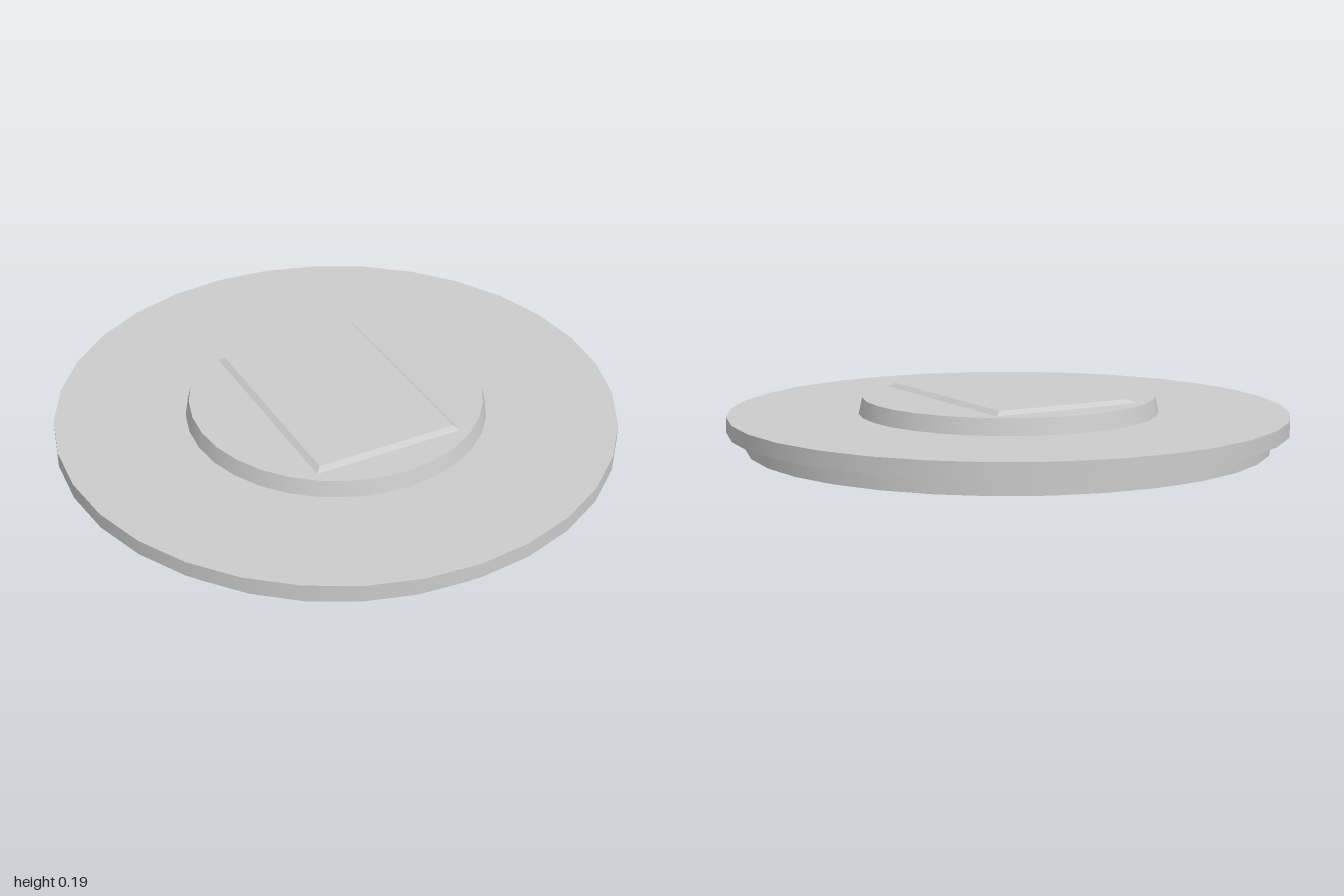
import * as THREE from 'three';

const SIDES = 32;
const grey = new THREE.MeshStandardMaterial({ color: 0xcccccc });

// Round disc standing between two heights
function disc(name, rTop, rBottom, y0, y1) {
  const mesh = new THREE.Mesh(new THREE.CylinderGeometry(rTop, rBottom, y1 - y0, SIDES), grey);
  mesh.position.y = (y0 + y1) / 2;
  mesh.name = name;
  return mesh;
}

// Rectangular slab whose top face is drawn in to bevel the four sides
function bevelledSlab(name, width, depth, inset, y0, y1) {
  const geometry = new THREE.BoxGeometry(width, y1 - y0, depth);
  const p = geometry.attributes.position;
  for (let i = 0; i < p.count; i++) {
    if (p.getY(i) > 0) {
      p.setX(i, p.getX(i) - Math.sign(p.getX(i)) * inset);
      p.setZ(i, p.getZ(i) - Math.sign(p.getZ(i)) * inset);
    }
  }
  geometry.computeVertexNormals();
  const mesh = new THREE.Mesh(geometry, grey);
  mesh.position.y = (y0 + y1) / 2;
  mesh.name = name;
  return mesh;
}

export function createModel() {
  const model = new THREE.Group();
  model.name = 'steppedDisc';
  model.add(
    disc('base', 0.933, 0.933, 0, 0.064),
    disc('flange', 1, 1, 0.064, 0.12),
    disc('hub', 0.522, 0.535, 0.12, 0.178),
    bevelledSlab('topPlate', 0.556, 0.796, 0.019, 0.178, 0.192)
  );
  return model;
}
